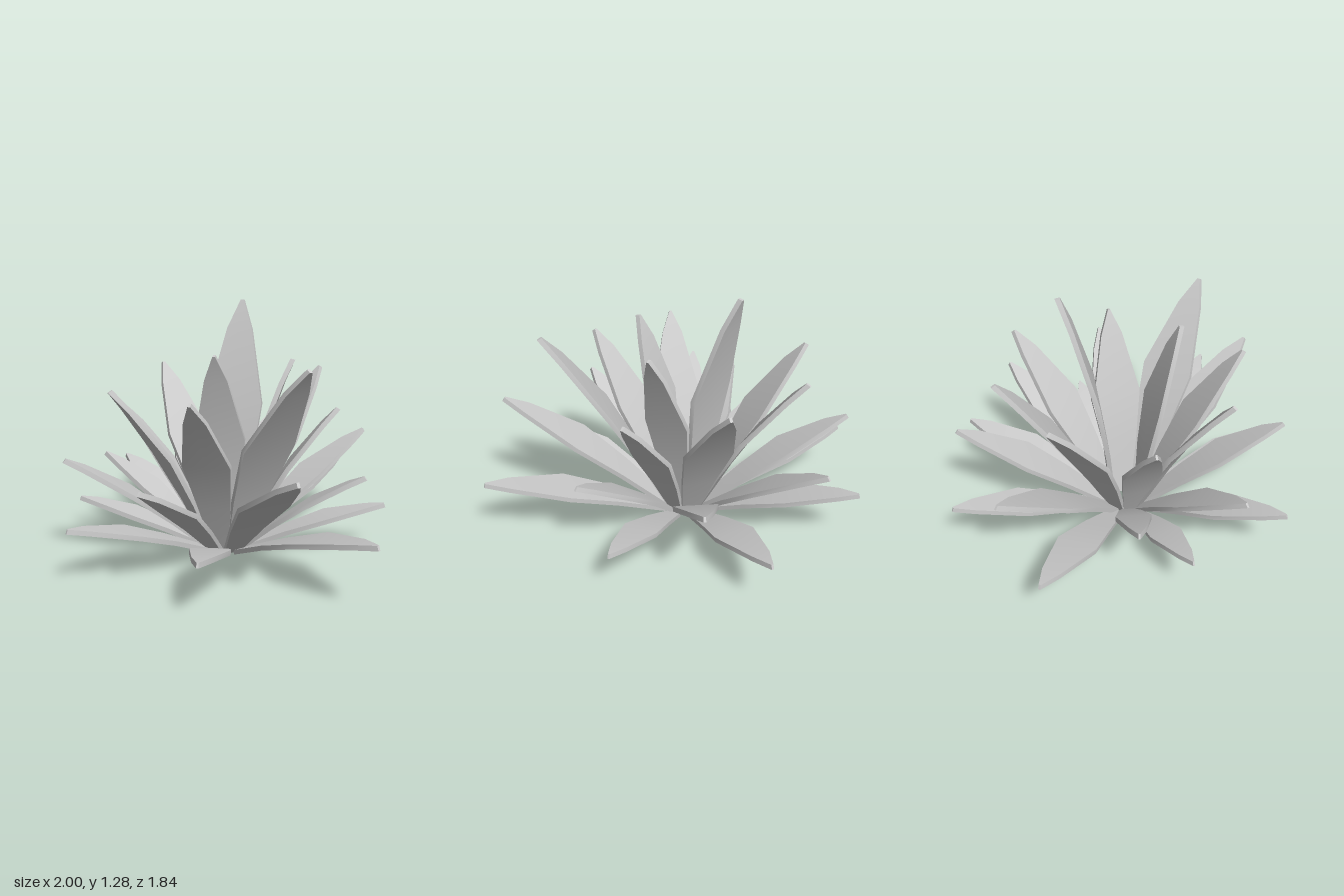
import * as THREE from 'three';

// Leaf tips as [x, y, z], ring by ring from the outside in
const RINGS = [
  { name: 'outerLeaf', base: 0.12, tips: [
    [-0.13, 0.31, -0.92], [0.52, 0.27, -0.57], [0.99, 0.36, 0.045], [0.555, 0.31, 0.665],
    [-0.115, 0.31, 0.91], [-0.56, 0.28, 0.6], [-1.0, 0.31, 0.045], [-0.765, 0.31, -0.585]] },
  { name: 'middleLeaf', base: 0.1, tips: [
    [0.15, 0.56, -0.81], [0.6, 0.49, -0.315], [0.82, 0.66, 0.355], [0.265, 0.56, 0.755],
    [-0.38, 0.56, 0.77], [-0.67, 0.46, 0.375], [-0.87, 0.56, -0.235], [-0.495, 0.56, -0.715]] },
  { name: 'innerLeaf', base: 0.085, tips: [
    [-0.03, 0.915, -0.635], [0.375, 0.79, -0.35], [0.64, 1.07, 0.125], [0.29, 0.915, 0.5],
    [-0.18, 0.915, 0.615], [-0.46, 0.75, 0.36], [-0.7, 0.915, -0.04], [-0.495, 0.915, -0.455]] },
  { name: 'heartLeaf', base: 0.07, tips: [
    [-0.23, 1.29, -0.24], [0.2, 1.03, -0.2], [0.12, 1.08, 0.23]] },
];
const CENTRE = [-0.06, 0.02];
const THICK = 0.024;

// Stations along a leaf: position, width relative to length, outward bulge
const STATIONS = [
  [0, 0.08, 0], [0.3, 0.165, 0.03], [0.58, 0.235, 0.042], [0.88, 0.105, 0.018], [1, 0.012, 0]];

// A bent, pointed slab running from radius r0 to the tip radius r1, height h
function leafGeometry(r0, r1, h) {
  const y0 = 0.015, dz = r1 - r0, dy = h - y0 - THICK / 2;
  const length = Math.hypot(dz, dy);
  const nz = -dy / length, ny = dz / length;
  const geo = new THREE.BoxGeometry(1, 1, 1, 2, 1, STATIONS.length - 1);
  const pos = geo.attributes.position;
  for (let i = 0; i < pos.count; i++) {
    const s = Math.round((pos.getZ(i) + 0.5) * (STATIONS.length - 1));
    const [t, width, bulge] = STATIONS[s];
    const off = pos.getY(i) * THICK + bulge * length;
    pos.setXYZ(i, pos.getX(i) * width * length,
      Math.max(0, y0 + dy * t + ny * off), r0 + dz * t + nz * off);
  }
  geo.computeVertexNormals();
  return geo;
}

export function createModel() {
  const plant = new THREE.Group();
  plant.name = 'rosettePlant';
  const material = new THREE.MeshStandardMaterial({ color: 0xcccccc });

  for (const { name, base, tips } of RINGS) {
    const ring = new THREE.Group();
    ring.name = name + 'Ring';
    for (const [x, y, z] of tips) {
      const dx = x - CENTRE[0], dz = z - CENTRE[1];
      const leaf = new THREE.Mesh(leafGeometry(base, Math.hypot(dx, dz), y), material);
      leaf.name = name;
      leaf.position.set(CENTRE[0], 0, CENTRE[1]);
      leaf.rotation.y = Math.atan2(dx, dz);
      ring.add(leaf);
    }
    plant.add(ring);
  }
  return plant;
}
